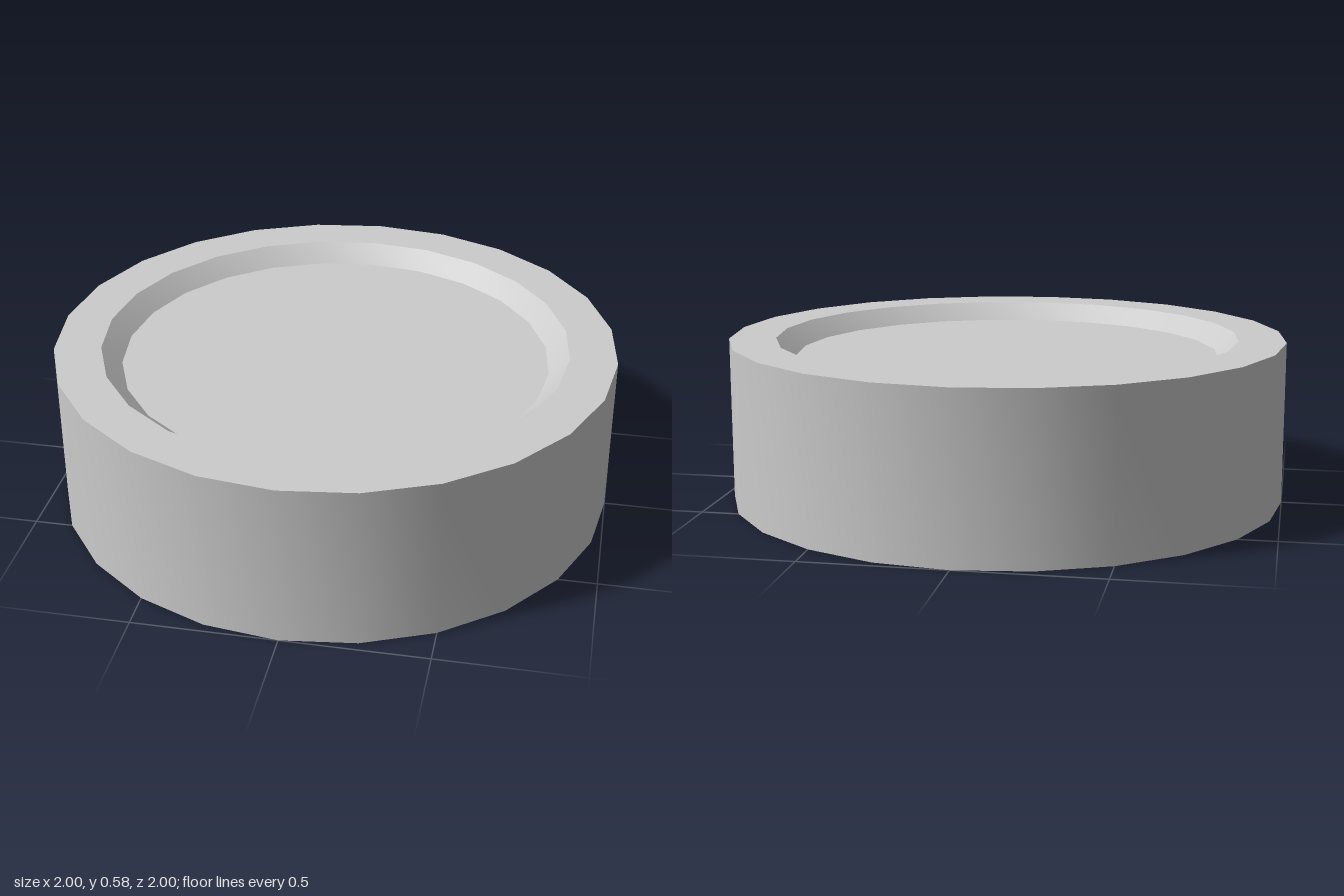
import * as THREE from 'three';
import { toCreasedNormals } from 'three/addons/utils/BufferGeometryUtils.js';

const SIDES = 24;

// Surface of revolution from [radius, height] points, with sharp edges between bands
function turned(name, profile, material) {
  const points = profile.map(([r, y]) => new THREE.Vector2(r, y));
  const geometry = toCreasedNormals(new THREE.LatheGeometry(points, SIDES), 0.5);
  const mesh = new THREE.Mesh(geometry, material);
  mesh.name = name;
  return mesh;
}

export function createModel() {
  const group = new THREE.Group();
  group.name = 'lid';
  const material = new THREE.MeshStandardMaterial({ color: 0xcccccc, side: THREE.DoubleSide });

  const height = 0.58, floorY = 0.517;
  const rimRadius = 0.833, floorRadius = 0.763;

  // Thin wall, open at the bottom
  group.add(turned('sideWall', [[1, 0], [1, height]], material));
  // Flat rim around the recess
  group.add(turned('topRim', [[1, height], [rimRadius, height]], material));
  // Sloped edge down to the recessed floor
  group.add(turned('recessBevel', [[rimRadius, height], [floorRadius, floorY]], material));

  // Recessed floor, its corners lined up with the bevel
  const floor = new THREE.Mesh(new THREE.CircleGeometry(floorRadius, SIDES), material);
  floor.name = 'recessFloor';
  floor.rotation.x = -Math.PI / 2;
  floor.position.y = floorY;
  group.add(floor);

  return group;
}
